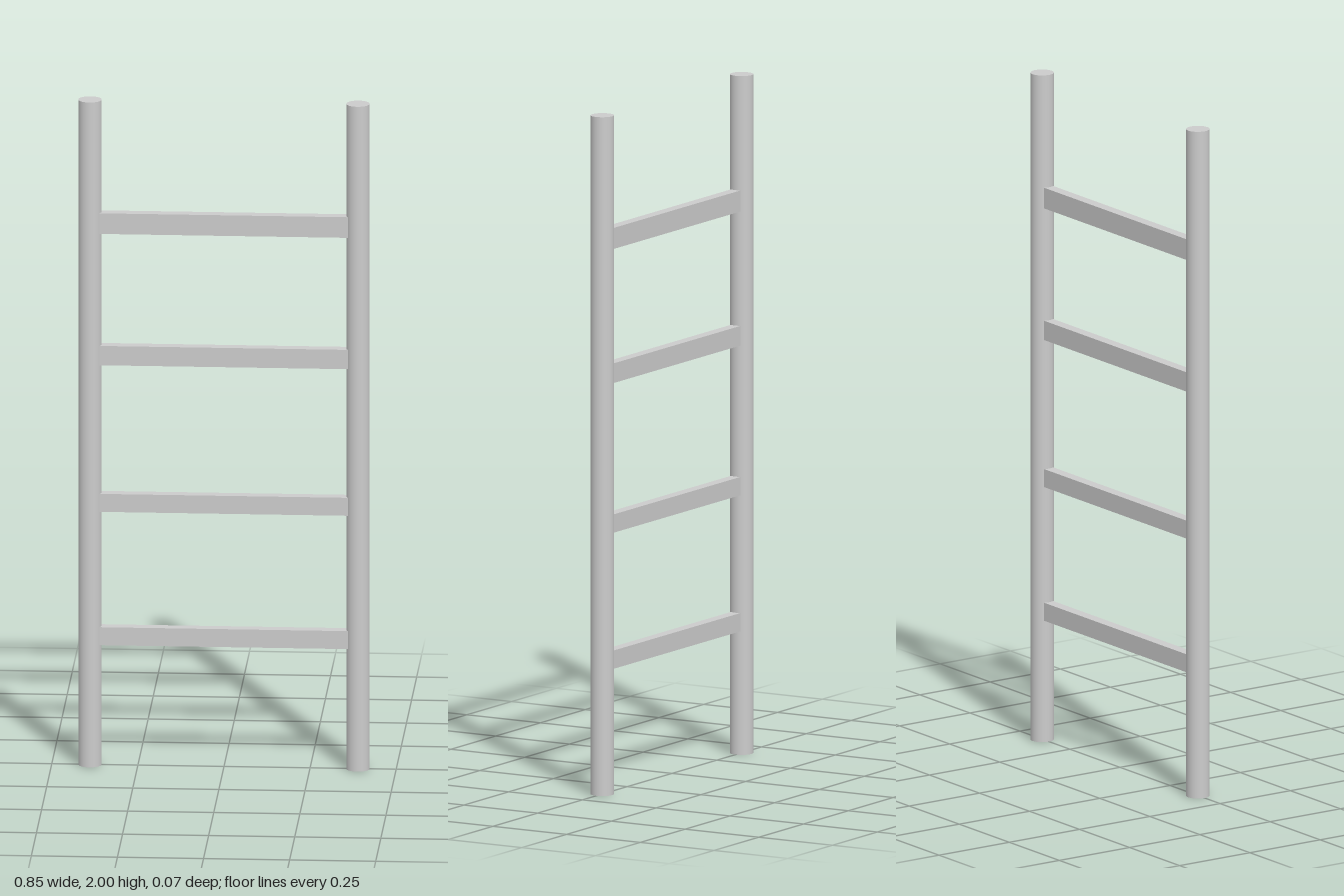
import * as THREE from 'three';

export function createModel() {
  const model = new THREE.Group();
  model.name = 'ladder';
  const material = new THREE.MeshStandardMaterial({ color: 0xcccccc });

  // Round upright rails
  const railGeometry = new THREE.CylinderGeometry(0.034, 0.034, 2, 48);
  for (const side of [-1, 1]) {
    const rail = new THREE.Mesh(railGeometry, material);
    rail.name = side > 0 ? 'leftRail' : 'rightRail';
    rail.position.set(side * 0.389, 1, 0);
    model.add(rail);
  }

  // Flat rungs, each with its centre height and thickness
  const rungs = [[0.391, 0.054], [0.792, 0.054], [1.235, 0.058], [1.632, 0.062]];
  rungs.forEach(([y, height], i) => {
    const rung = new THREE.Mesh(new THREE.BoxGeometry(0.725, height, 0.033), material);
    rung.name = `rung${i + 1}`;
    rung.position.set(-0.002, y, 0.002);
    model.add(rung);
  });

  return model;
}
